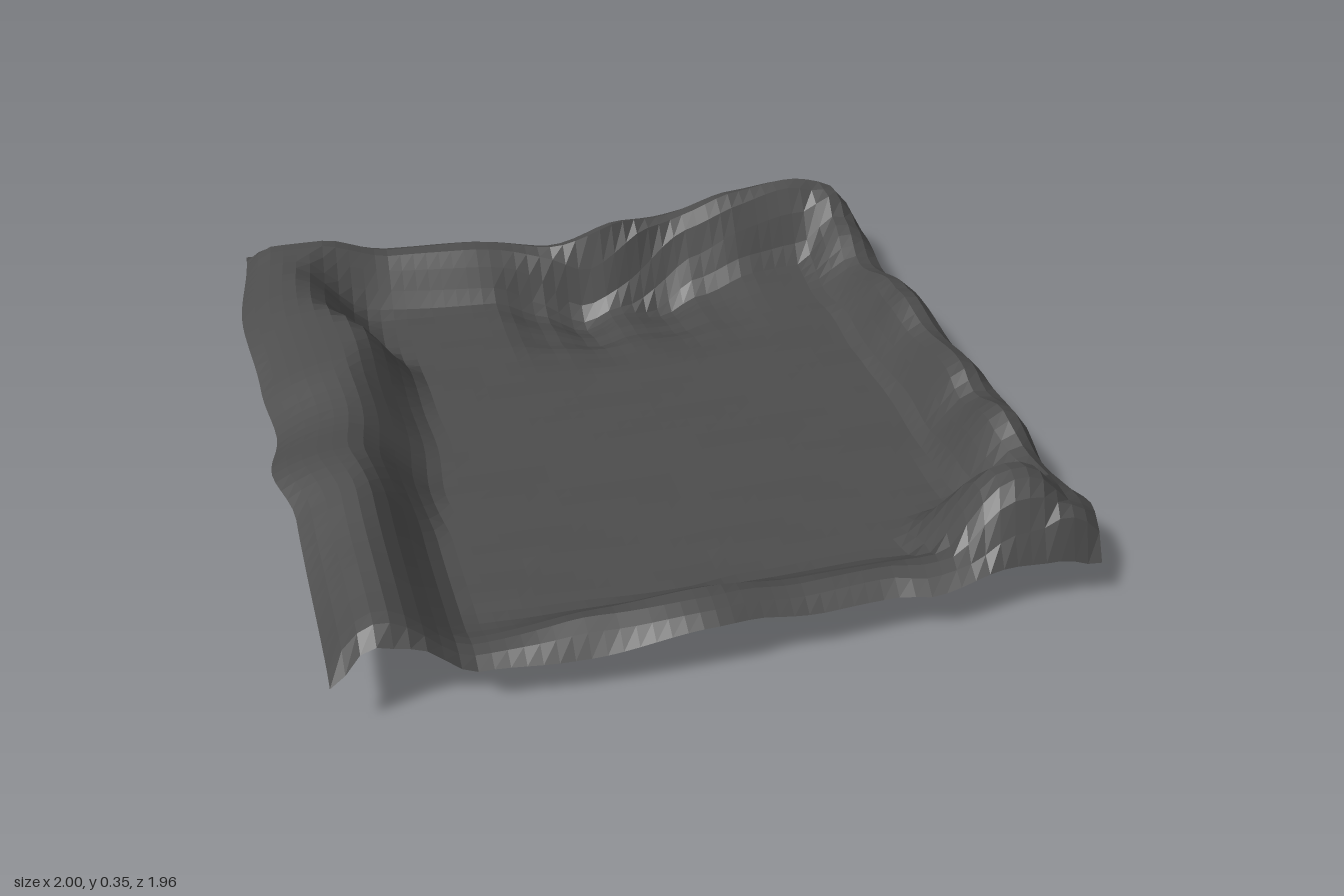
import * as THREE from 'three';

// Smooth interpolation through [position, value] pairs
function along(pairs, p) {
  const n = pairs.length;
  if (p <= pairs[0][0]) return pairs[0][1];
  for (let i = 1; i < n; i++) {
    const [a, va] = pairs[i - 1], [b, vb] = pairs[i];
    if (p <= b) {
      const t = (p - a) / (b - a);
      return va + (vb - va) * t * t * (3 - 2 * t);
    }
  }
  return pairs[n - 1][1];
}
const smooth = (a, b, p) => THREE.MathUtils.smoothstep(p, a, b);
const FLOOR = 0.112;

// Each rim: outline, crest line, inner foot (distances from centre), crest height and edge height
const left = {
  outline: [[-0.96, 0.955], [-0.5, 1], [-0.2, 0.98], [0, 0.96], [0.22, 0.99], [0.42, 0.95], [0.93, 0.94]],
  crest: [[-0.9, 0.87], [-0.6, 0.83], [-0.33, 0.71], [-0.1, 0.76], [0.2, 0.79], [0.9, 0.81]],
  foot: [[-0.8, 0.6], [-0.55, 0.58], [-0.33, 0.5], [-0.1, 0.52], [0.2, 0.55], [0.45, 0.59], [0.9, 0.57]],
  height: [[-0.9, 0.31], [-0.6, 0.32], [-0.25, 0.32], [0.05, 0.285], [0.3, 0.32], [0.6, 0.295], [0.9, 0.29]],
  edge: [[-0.9, 0.25], [-0.5, 0.27], [0, 0.22], [0.25, 0.26], [0.9, 0.17]],
};
const right = {
  outline: [[-0.96, 0.95], [-0.72, 0.97], [-0.5, 0.95], [-0.35, 0.965], [-0.2, 0.955], [0.1, 0.97], [0.3, 0.96],
    [0.52, 0.955], [0.62, 0.965], [0.78, 1], [0.93, 0.965]],
  crest: [[-0.9, 0.86], [-0.3, 0.89], [0.5, 0.88], [0.9, 0.86]],
  foot: [[-0.7, 0.73], [0.2, 0.73], [0.45, 0.7], [0.9, 0.7]],
  height: [[-0.85, 0.31], [-0.72, 0.25], [-0.55, 0.19], [-0.3, 0.25], [-0.2, 0.27], [-0.05, 0.245], [0.2, 0.28],
    [0.3, 0.25], [0.48, 0.31], [0.62, 0.27], [0.9, 0.24]],
  edge: [[-0.9, 0.18], [-0.55, 0.16], [-0.2, 0.22], [0, 0.19], [0.2, 0.22], [0.48, 0.24], [0.62, 0.17], [0.8, 0.2]],
};
const back = {
  outline: [[-0.95, 0.965], [-0.6, 0.96], [-0.2, 0.94], [0.1, 0.87], [0.4, 0.94], [0.72, 0.985], [0.95, 0.96]],
  crest: [[-0.9, 0.87], [-0.2, 0.85], [0.1, 0.81], [0.4, 0.84], [0.8, 0.85]],
  foot: [[-0.9, 0.66], [-0.4, 0.7], [0.1, 0.71], [0.4, 0.66], [0.7, 0.7]],
  height: [[-0.9, 0.31], [-0.7, 0.3], [-0.53, 0.255], [-0.3, 0.255], [-0.05, 0.22], [0.17, 0.29], [0.32, 0.27],
    [0.56, 0.325], [0.75, 0.34], [0.95, 0.3]],
  edge: [[-0.95, 0.24], [-0.4, 0.2], [-0.05, 0.17], [0.2, 0.22], [0.7, 0.2], [0.95, 0.14]],
};
const front = {
  outline: [[-0.94, 0.93], [-0.6, 0.935], [-0.4, 0.95], [-0.05, 0.978], [0.1, 0.955], [0.4, 0.94], [0.5, 0.96], [0.75, 0.935], [0.96, 0.93]],
  crest: [[-0.9, 0.875], [0.9, 0.875]],
  foot: [[-0.9, 0.74], [0.9, 0.74]],
  height: [[-0.6, 0.15], [-0.3, 0.19], [-0.05, 0.21], [0.2, 0.18], [0.5, 0.18], [0.9, 0.22]],
  edge: [[-0.94, 0.15], [-0.84, 0.25], [-0.75, 0.23], [-0.6, 0.13], [-0.35, 0.125], [-0.05, 0.18], [0.25, 0.14],
    [0.5, 0.14], [0.7, 0.17], [0.85, 0.16], [0.95, 0.13]],
};

// Hollow beneath the back rim: depth across x, and its fade along z
const hollowX = [[-0.25, 0], [-0.1, 0.06], [0.03, 0.112], [0.14, 0.065], [0.28, 0.09], [0.4, 0.05], [0.58, 0]];
const hollowZ = [[-0.8, 0], [-0.74, 0.75], [-0.68, 1], [-0.52, 0.62], [-0.4, 0.22], [-0.25, 0]];

function heightAt(x, z) {
  const sides = [[left, -x, z], [right, x, z], [back, -z, x], [front, z, x]];
  // Raised rims, blended where they meet
  const lifts = sides.map(([rim, d, p]) =>
    (along(rim.height, p) - FLOOR) * smooth(along(rim.foot, p), along(rim.crest, p), d));
  const lift = Math.max(...lifts, Math.min(0.2, Math.hypot(...lifts)));
  // Floor with slight ripples
  const ripple = 0.004 * Math.sin(9 * x + 3 * Math.sin(5 * z)) * Math.sin(23 * z + 2 * x);
  let y = FLOOR + Math.max(ripple, lift);
  // Mound in the front corner
  const r = Math.pow(Math.pow(Math.abs(x - 0.77) / 0.25, 3) + Math.pow(Math.abs(z - 0.79) / 0.2, 3), 1 / 3);
  y = Math.max(y, FLOOR + 0.24 * (1 - smooth(0.1, 1.08, r)));
  y -= along(hollowX, x) * along(hollowZ, z);
  // Outer edges curl down
  for (const [rim, d, p] of sides) {
    const c = along(rim.crest, p);
    const t = THREE.MathUtils.clamp((d - c) / (along(rim.outline, p) - c), 0, 1);
    y += (Math.min(y, along(rim.edge, p)) - y) * t * t;
  }
  return Math.max(0, y);
}

export function createModel() {
  const group = new THREE.Group();
  group.name = 'terrainTile';
  const stone = new THREE.MeshStandardMaterial({ color: 0x4d4d4d, side: THREE.DoubleSide });
  stone.name = 'dark grey stone';

  // Sheet of square facets, fitted to the wavy outline and raised by the height rule
  const sheet = new THREE.PlaneGeometry(2, 2, 50, 50).rotateX(-Math.PI / 2);
  const pos = sheet.attributes.position;
  for (let i = 0; i < pos.count; i++) {
    const u = pos.getX(i), v = pos.getZ(i);
    const x = u * along((u < 0 ? left : right).outline, v * 0.95);
    const z = v * along((v < 0 ? back : front).outline, u * 0.95);
    pos.setXYZ(i, x, heightAt(x, z), z);
  }
  const faceted = sheet.toNonIndexed();
  faceted.computeVertexNormals();
  const ground = new THREE.Mesh(faceted, stone);
  ground.name = 'groundWithRaisedRim';
  group.add(ground);
  return group;
}
